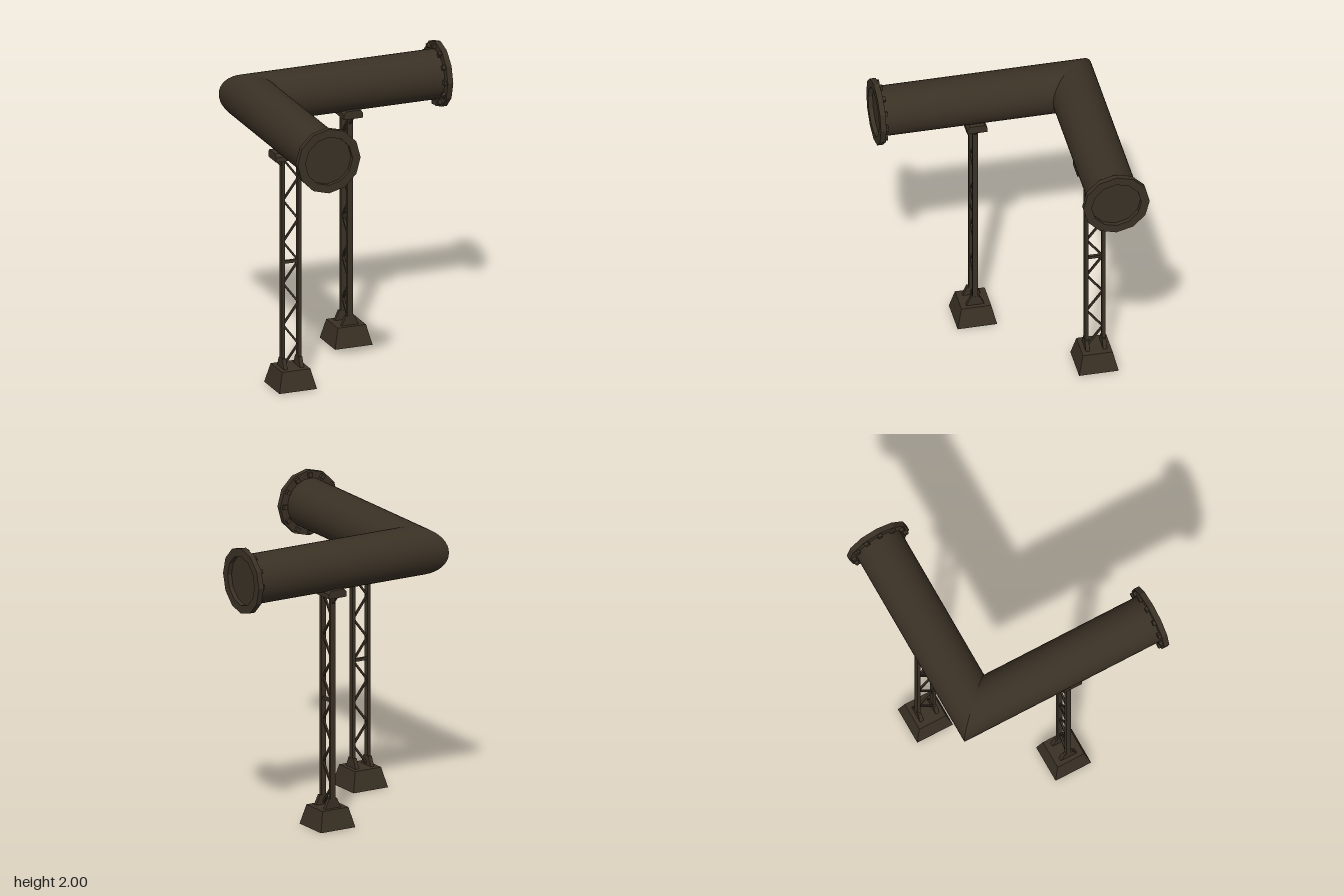
import * as THREE from 'three';

const steel = new THREE.MeshStandardMaterial({ color: 0x3a3125, side: THREE.DoubleSide });
steel.name = 'darkBrownSteel';

const AXIS = 1.778;      // height of the pipe centre line
const RADIUS = 0.167;
const CORNER = -0.558;   // x and z of the elbow
const LENGTH = 1.338;    // elbow to flange face

function add(parent, name, geometry, x = 0, y = 0, z = 0) {
  const mesh = new THREE.Mesh(geometry, steel);
  mesh.name = name;
  mesh.position.set(x, y, z);
  parent.add(mesh);
  return mesh;
}

function faceted(geometry) {
  const flat = geometry.index ? geometry.toNonIndexed() : geometry;
  flat.computeVertexNormals();
  return flat;
}

// Plate from an outline, centred on its thickness
function plate(points, depth) {
  const shape = new THREE.Shape(points.map(([x, y]) => new THREE.Vector2(x, y)));
  return new THREE.ExtrudeGeometry(shape, { depth, bevelEnabled: false }).translate(0, 0, -depth / 2);
}

// Round pipe along +z whose start is cut at 45 degrees
function miteredPipe(slope) {
  const g = new THREE.CylinderGeometry(RADIUS, RADIUS, 1, 40, 1, true);
  g.rotateX(Math.PI / 2);
  const p = g.attributes.position;
  for (let i = 0; i < p.count; i++) {
    p.setZ(i, p.getZ(i) > 0 ? LENGTH - 0.03 : slope * p.getX(i));
  }
  return g;
}

// Twelve-sided flange with a recessed blank and a ring of bolts
function makeFlange() {
  const group = new THREE.Group();
  group.name = 'flange';
  const profile = [[0.16, -0.038], [0.223, -0.038], [0.223, 0], [0.167, 0], [0.167, -0.03], [0, -0.03]]
    .map(([r, y]) => new THREE.Vector2(r, y));
  add(group, 'flangeRing', faceted(new THREE.LatheGeometry(profile, 12).rotateX(Math.PI / 2)));
  for (let i = 0; i < 12; i++) {
    const a = (i / 12) * Math.PI * 2;
    const bolt = add(group, 'flangeBolt', new THREE.BoxGeometry(0.03, 0.03, 0.024),
      Math.sin(a) * 0.193, Math.cos(a) * 0.193, -0.045);
    bolt.rotation.z = -a;
  }
  return group;
}

// Lattice column on a footing, carrying a saddle under the pipe
function makeSupport() {
  const group = new THREE.Group();
  group.name = 'support';
  const bottom = 0.135, top = 1.59, postX = 0.058;

  // Hollow tapered footing, open underneath
  const footing = new THREE.CylinderGeometry(0.1 * Math.SQRT2, 0.133 * Math.SQRT2, bottom, 4, 1, true);
  add(group, 'footing', faceted(footing.rotateY(Math.PI / 4)), 0, bottom / 2, 0);
  add(group, 'footingTop', new THREE.PlaneGeometry(0.2, 0.2).rotateX(-Math.PI / 2), 0, bottom, 0);

  for (const side of [-1, 1]) {
    add(group, 'post', new THREE.BoxGeometry(0.024, top - bottom, 0.037),
      side * postX, (top + bottom) / 2, 0);
    const foot = plate([[-0.06, bottom], [0.06, bottom], [0.03, 0.2], [-0.03, 0.2]], 0.026);
    add(group, 'postFoot', foot.rotateY(Math.PI / 2), side * postX, 0, 0);
    const gusset = plate([[side * 0.06, 1.525], [side * 0.12, top], [side * 0.06, top]], 0.016);
    add(group, 'saddleGusset', gusset);
  }

  // Zigzag bracing
  const step = 0.1445;
  for (let i = 0; i < 10; i++) {
    const from = i % 2 ? 0.055 : -0.055;
    const y = 0.14 + i * step;
    const brace = add(group, 'diagonalBrace',
      new THREE.BoxGeometry(0.013, Math.hypot(0.11, step), 0.013), 0, y + step / 2, 0);
    brace.rotation.z = Math.atan2(2 * from, step);
  }
  add(group, 'middleBar', new THREE.BoxGeometry(0.11, 0.02, 0.02), 0, 0.865, 0);

  // Saddle with chamfered shoulders
  const saddle = plate([[-0.068, 1.59], [0.068, 1.59], [0.068, 1.622], [0.05, 1.645],
    [-0.05, 1.645], [-0.068, 1.622]], 0.26);
  add(group, 'saddle', saddle.rotateY(Math.PI / 2));
  return group;
}

// One leg of the elbow: pipe, flange and support
function makeArm(name, slope) {
  const arm = new THREE.Group();
  arm.name = name;
  add(arm, 'pipe', miteredPipe(slope), 0, AXIS, 0);
  const flange = makeFlange();
  flange.position.set(0, AXIS, LENGTH);
  const support = makeSupport();
  support.position.z = LENGTH / 2;
  arm.add(flange, support);
  arm.position.set(CORNER, 0, CORNER);
  return arm;
}

export function createModel() {
  const model = new THREE.Group();
  model.name = 'pipeElbowOnSupports';
  const frontArm = makeArm('frontArm', 1);
  const sideArm = makeArm('sideArm', -1);
  sideArm.rotation.y = Math.PI / 2;
  model.add(frontArm, sideArm);
  return model;
}
